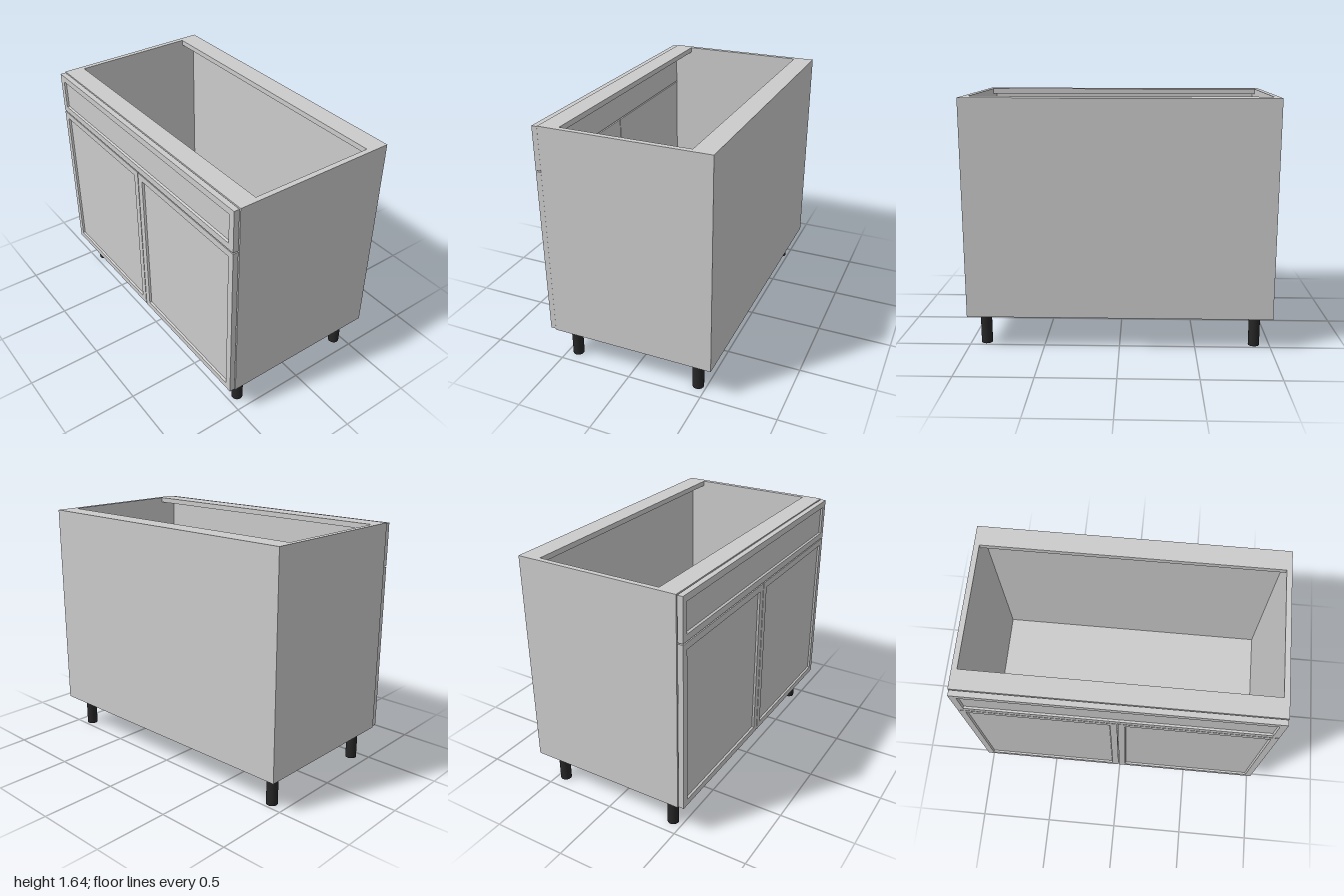
import * as THREE from 'three';

const grey = new THREE.MeshStandardMaterial({ color: 0xcccccc });
const dark = new THREE.MeshStandardMaterial({ color: 0x262626 });

// Box given by its minimum and maximum on each axis
function board(name, [x0, x1], [y0, y1], [z0, z1]) {
  const mesh = new THREE.Mesh(new THREE.BoxGeometry(x1 - x0, y1 - y0, z1 - z0), grey);
  mesh.position.set((x0 + x1) / 2, (y0 + y1) / 2, (z0 + z1) / 2);
  mesh.name = name;
  return mesh;
}

// Framed front with a recessed centre, skinned through nested rectangles
function framedFront(name, [x0, x1], [y0, y1], [z0, z1]) {
  const frame = 0.043, lip = 0.006, depth = 0.013;
  const loop = (inset, z) => [
    [x0 + inset, y0 + inset, z], [x1 - inset, y0 + inset, z],
    [x1 - inset, y1 - inset, z], [x0 + inset, y1 - inset, z],
  ];
  const loops = [loop(0, z0), loop(0, z1), loop(frame, z1), loop(frame + lip, z1 - depth)];
  const points = [];
  const quad = (a, b, c, d) => points.push(...a, ...b, ...c, ...a, ...c, ...d);
  for (let i = 0; i < loops.length - 1; i++) {
    for (let j = 0; j < 4; j++) {
      const k = (j + 1) % 4;
      quad(loops[i][j], loops[i][k], loops[i + 1][k], loops[i + 1][j]);
    }
  }
  quad(...loops[3]);
  quad(...loops[0].slice().reverse());
  const geometry = new THREE.BufferGeometry();
  geometry.setAttribute('position', new THREE.Float32BufferAttribute(points, 3));
  geometry.computeVertexNormals();
  const mesh = new THREE.Mesh(geometry, grey);
  mesh.name = name;
  return mesh;
}

export function createModel() {
  const model = new THREE.Group();
  model.name = 'baseCabinet';

  const bottom = 0.22, top = 1.645, t = 0.035;
  const back = -0.568, front = 0.528, inner = 1 - t;

  // Carcass: sides, floor, back and two flat top rails, open above and in front
  model.add(
    board('leftSide', [inner, 1], [bottom, top], [back, front]),
    board('rightSide', [-1, -inner], [bottom, top], [back, front]),
    board('floorPanel', [-inner, inner], [bottom, bottom + t], [back + t, front]),
    board('backPanel', [-inner, inner], [bottom, top - t], [back, back + t]),
    board('backRail', [-inner, inner], [top - t, top], [back, -0.433]),
    board('frontRail', [-inner, inner], [top - t, top], [0.4, front]),
  );

  // Drawer front and a pair of doors
  const frontZ = [0.532, 0.568];
  model.add(
    framedFront('drawerFront', [-0.995, 0.995], [1.358, 1.64], frontZ),
    framedFront('leftDoor', [0.003, 0.995], [0.224, 1.35], frontZ),
    framedFront('rightDoor', [-0.995, -0.003], [0.224, 1.35], frontZ),
  );

  // Four round legs
  const legGeometry = new THREE.CylinderGeometry(0.037, 0.037, bottom, 32);
  for (const x of [-0.897, 0.897]) {
    for (const z of [0.431, -0.446]) {
      const leg = new THREE.Mesh(legGeometry, dark);
      leg.position.set(x, bottom / 2, z);
      leg.name = (z > 0 ? 'front' : 'back') + (x > 0 ? 'Left' : 'Right') + 'Leg';
      model.add(leg);
    }
  }
  return model;
}
